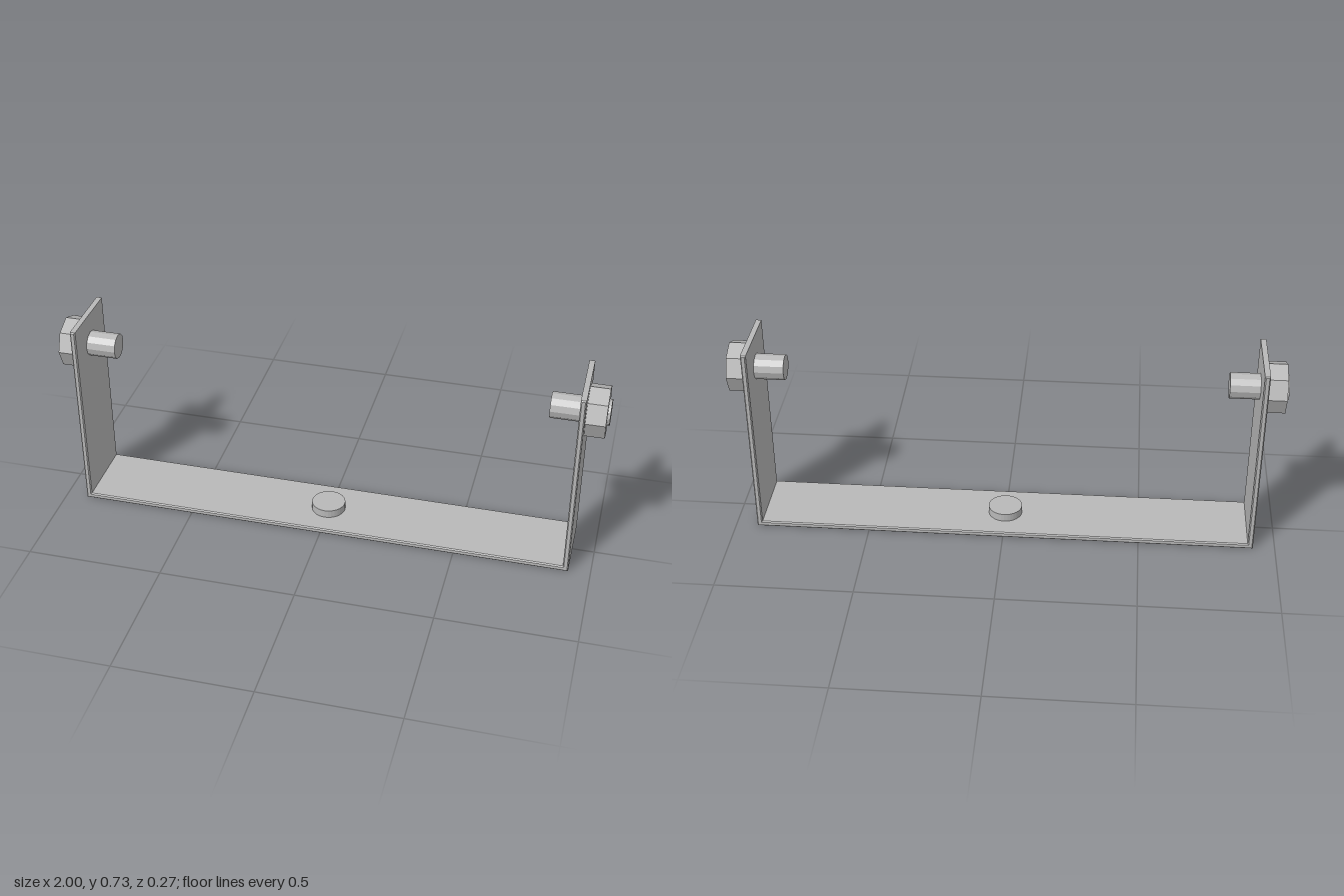
import * as THREE from 'three';

export function createModel() {
  const model = new THREE.Group();
  const steel = new THREE.MeshStandardMaterial({ color: 0xb8b8b8, flatShading: true });
  steel.name = 'grey steel';

  const add = (name, geometry, parent = model) => {
    const mesh = new THREE.Mesh(geometry, steel);
    mesh.name = name;
    parent.add(mesh);
    return mesh;
  };

  // U-shaped bracket: one bent strip with slightly bevelled rims
  const W = 0.92, H = 0.73, T = 0.02, D = 0.272, B = 0.004;
  const profile = new THREE.Shape([
    [-W, 0], [W, 0], [W, H], [W - T, H], [W - T, T], [-W + T, T], [-W + T, H], [-W, H],
  ].map(([x, y]) => new THREE.Vector2(x, y)));
  const strip = new THREE.ExtrudeGeometry(profile, {
    depth: D - 2 * B, bevelEnabled: true, bevelThickness: B, bevelSize: B, bevelOffset: -B, bevelSegments: 1,
  });
  strip.translate(0, 0, -D / 2 + B);
  add('bracket', strip);

  // Round stud in the middle of the base
  add('baseStud', new THREE.CylinderGeometry(0.0625, 0.0625, 0.035, 32)).position.y = 0.0325;

  // Pivot bolt with an octagonal knob at the top of each arm
  for (const side of [-1, 1]) {
    const bolt = new THREE.Group();
    bolt.name = side > 0 ? 'leftBolt' : 'rightBolt';
    bolt.position.y = 0.613;
    const rod = (name, radius, from, to, sides) => {
      const geometry = new THREE.CylinderGeometry(radius, radius, to - from, sides);
      geometry.rotateZ(Math.PI / 2);
      add(name, geometry, bolt).position.x = side * (from + to) / 2;
    };
    rod('pin', 0.0465, 0.793, 1, 12);
    rod('knob', 0.094, 0.919, 0.99, 8);
    model.add(bolt);
  }
  return model;
}
